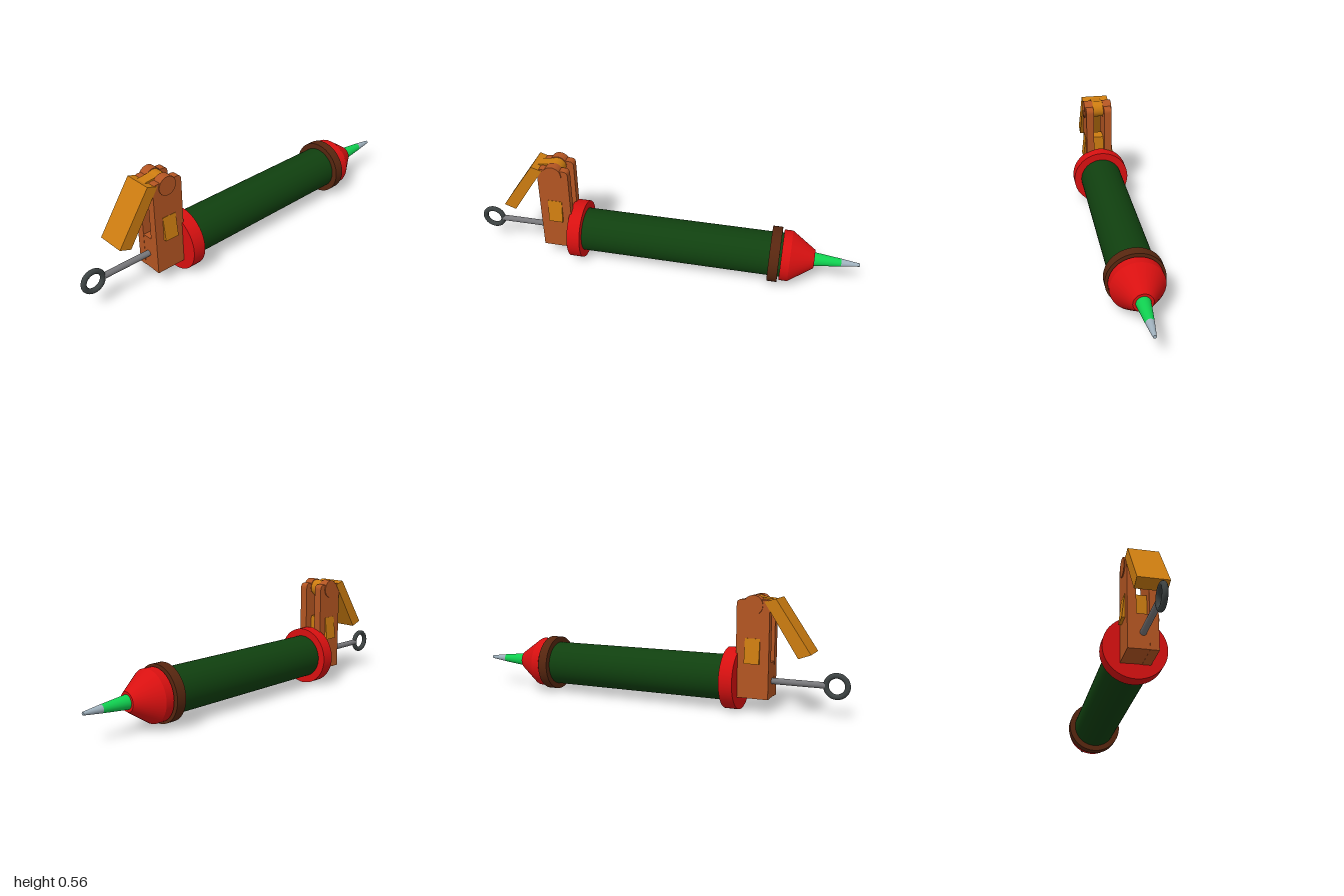
import * as THREE from 'three';

const AXIS_Y = 0.152;

export function createModel() {
  const model = new THREE.Group();
  model.name = 'sealantGun';

  const material = (name, color) => {
    const m = new THREE.MeshStandardMaterial({ color });
    m.name = name;
    return m;
  };
  const red = material('red', 0xd81010);
  const darkGreen = material('dark green', 0x10400f);
  const darkBrown = material('dark brown', 0x57260f);
  const copper = material('copper brown', 0xb35522);
  const orange = material('orange', 0xcc7c10);
  const rodGrey = material('rod grey', 0x77777a);
  const ringGrey = material('ring grey', 0x3c4242);
  const brightGreen = material('bright green', 0x10d050);
  const tipGrey = material('tip grey', 0x9fb0bc);

  const add = (name, geometry, mat, x = 0, y = 0, z = 0) => {
    const mesh = new THREE.Mesh(geometry, mat);
    mesh.name = name;
    mesh.position.set(x, y, z);
    model.add(mesh);
    return mesh;
  };

  // Round part along the x axis, from x0 (radius r0) to x1 (radius r1)
  const barrelPart = (name, mat, x0, x1, r0, r1 = r0) => {
    const g = new THREE.CylinderGeometry(r1, r0, x1 - x0, 48);
    g.rotateZ(-Math.PI / 2);
    return add(name, g, mat, (x0 + x1) / 2, AXIS_Y);
  };

  // Side outline in x and y, extruded symmetrically about z = 0
  const slab = (shape, width) => {
    const g = new THREE.ExtrudeGeometry(shape, { depth: width, bevelEnabled: false, curveSegments: 8 });
    return g.translate(0, 0, -width / 2);
  };
  const polygon = (points) => new THREE.Shape(points.map(([x, y]) => new THREE.Vector2(x, y)));

  // Barrel, collars, nose cone and nozzle
  barrelPart('barrel', darkGreen, -0.45, 0.62, 0.112);
  barrelPart('rearCollar', red, -0.48, -0.413, 0.151);
  barrelPart('frontCollar', darkBrown, 0.553, 0.603, 0.141);
  barrelPart('noseBand', red, 0.612, 0.655, 0.129);
  barrelPart('noseCone', red, 0.655, 0.775, 0.129, 0.047);
  barrelPart('nozzle', brightGreen, 0.77, 0.908, 0.035, 0.02);
  barrelPart('nozzleTip', tipGrey, 0.908, 1.0, 0.02, 0.008);

  // Plunger rod and pull ring
  barrelPart('plungerRod', rodGrey, -0.885, -0.45, 0.015);
  add('pullRing', new THREE.TorusGeometry(0.05, 0.013, 16, 48), ringGrey, -0.937, AXIS_Y);

  // Handle: two cheek plates with rounded top corners
  const x0 = -0.632, x1 = -0.472, y0 = 0.072, y1 = 0.543, r = 0.025;
  const cheek = new THREE.Shape();
  cheek.moveTo(x0, y0);
  cheek.lineTo(x1, y0);
  cheek.lineTo(x1, y1 - r);
  cheek.quadraticCurveTo(x1, y1, x1 - r, y1);
  cheek.lineTo(x0 + r, y1);
  cheek.quadraticCurveTo(x0, y1, x0, y1 - r);
  for (const [side, sign] of [['left', 1], ['right', -1]]) {
    add(side + 'HandleCheek', slab(cheek, 0.041), copper, 0, 0, sign * 0.0495);
  }
  add('handleCore', new THREE.BoxGeometry(0.158, 0.17, 0.06), copper, -0.552, 0.158);

  // Pivot: copper pin ends with the orange lever hub between the cheeks
  const pin = (name, mat, radius, width, z) => {
    const g = new THREE.CylinderGeometry(radius, radius, width, 32);
    g.rotateX(Math.PI / 2);
    add(name, g, mat, -0.553, 0.517, z);
  };
  pin('leftPivotEnd', copper, 0.047, 0.047, 0.0515);
  pin('rightPivotEnd', copper, 0.047, 0.047, -0.0515);
  pin('leverHub', orange, 0.043, 0.058, 0);

  // Trigger lever and the arm that joins it to the hub
  add('triggerLever', slab(polygon([
    [-0.66, 0.551], [-0.83, 0.3], [-0.771, 0.278], [-0.606, 0.534],
  ]), 0.144), orange);
  add('leverArm', slab(polygon([
    [-0.65, 0.545], [-0.64, 0.49], [-0.553, 0.478], [-0.553, 0.556],
  ]), 0.056), orange);

  // Wedge grips on both sides, thicker towards the bottom
  const wedge = new THREE.BoxGeometry(0.073, 0.12, 0.17);
  const p = wedge.attributes.position;
  for (let i = 0; i < p.count; i++) {
    if (p.getY(i) > 0) p.setZ(i, Math.sign(p.getZ(i)) * 0.0715);
  }
  wedge.computeVertexNormals();
  add('wedgeGrips', wedge, orange, -0.552, 0.3);

  return model;
}
